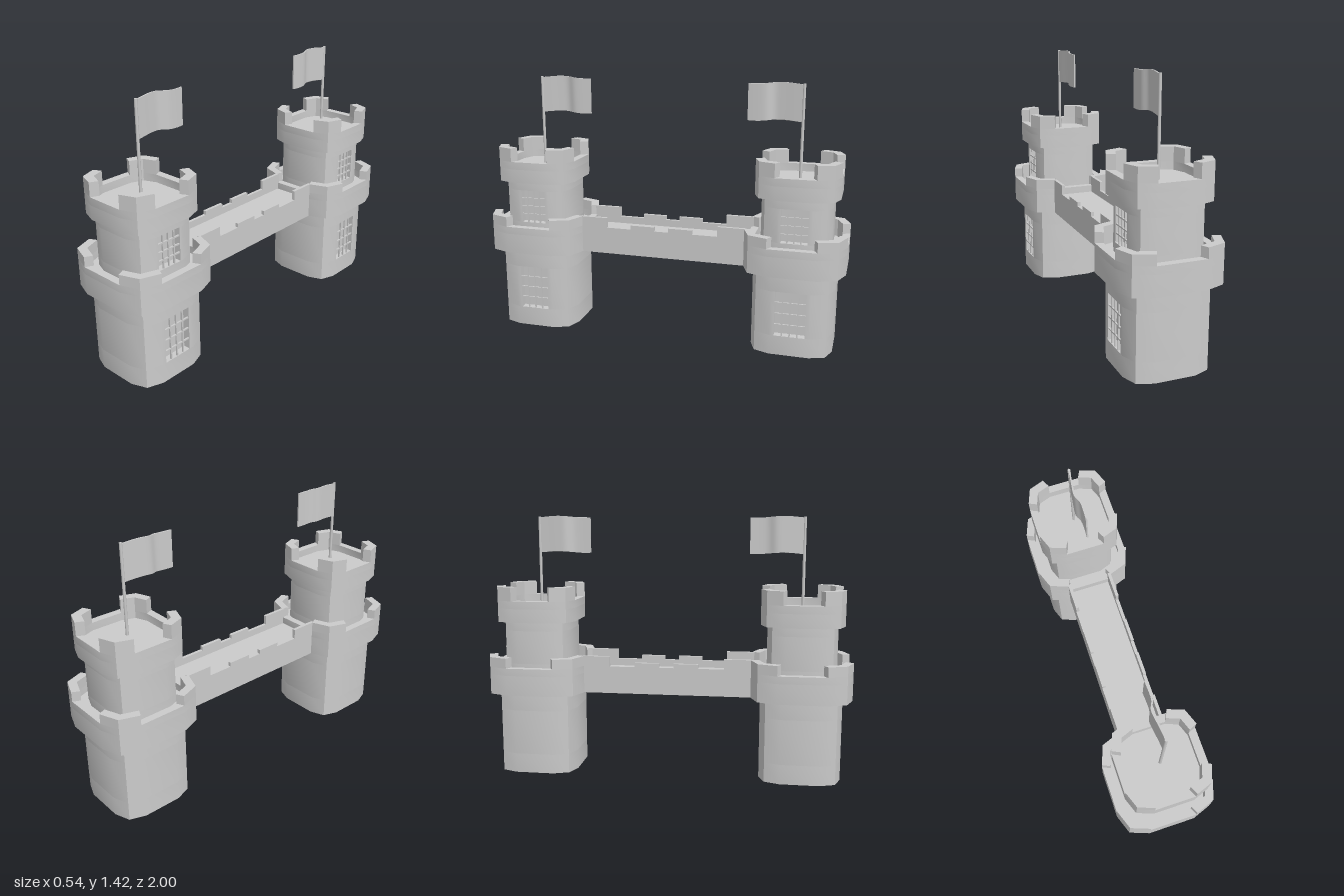
import * as THREE from 'three';
import { toCreasedNormals } from 'three/addons/utils/BufferGeometryUtils.js';

const material = new THREE.MeshStandardMaterial({ color: 0xcccccc });
const FLAT = 0.48;   // half length of a flat side, as a share of the half width
const CORNER = 0.86; // corner position, as a share of the half width

function add(parent, name, geometry) {
  const mesh = new THREE.Mesh(geometry, material);
  mesh.name = name;
  parent.add(mesh);
  return mesh;
}

function box(parent, name, x0, x1, y0, y1, z0, z1) {
  const mesh = add(parent, name, new THREE.BoxGeometry(x1 - x0, y1 - y0, z1 - z0));
  mesh.position.set((x0 + x1) / 2, (y0 + y1) / 2, (z0 + z1) / 2);
}

// Outline with four bowed sides and four sharp corners, counter-clockwise from the +x side
function outline(h) {
  const points = [];
  for (let k = 0; k < 4; k++) {
    for (const [x, y] of [[1, -FLAT], [1, FLAT], [CORNER, CORNER]]) {
      points.push(new THREE.Vector2(x * h, y * h).rotateAround(new THREE.Vector2(), k * Math.PI / 2));
    }
  }
  return points;
}

// Upright prism over a plan outline
function prism(points, y0, y1, hole) {
  const shape = new THREE.Shape(points);
  if (hole) shape.holes.push(new THREE.Path(hole));
  const geometry = new THREE.ExtrudeGeometry(shape, { depth: y1 - y0, bevelEnabled: false });
  geometry.rotateX(-Math.PI / 2).translate(0, y0, 0);
  return toCreasedNormals(geometry, 0.6);
}

// Tower storey with a recessed, barred window on its +x side
function storey(tower, name, h, y0, y1, win) {
  const group = new THREE.Group();
  group.name = name;
  const { w, bottom, top } = win, depth = 0.04;
  const recessed = outline(h);
  recessed.splice(1, 0, ...[[h, -w], [h - depth, -w], [h - depth, w], [h, w]]
    .map(([x, y]) => new THREE.Vector2(x, y)));
  add(group, 'wallBelowWindow', prism(outline(h), y0, bottom));
  add(group, 'wallAroundWindow', prism(recessed, bottom, top));
  add(group, 'wallAboveWindow', prism(outline(h), top, y1));
  const b = 0.0035, x0 = h - 0.012, x1 = h - 0.003;
  for (let i = 1; i < 4; i++) {
    const z = -w + (i / 4) * 2 * w;
    const y = bottom + (i / 4) * (top - bottom);
    box(group, 'uprightBar', x0, x1, bottom, top, z - b, z + b);
    box(group, 'crossBar', x0, x1, y - b, y + b, -w, w);
  }
  tower.add(group);
}

// Overhanging platform with a parapet and four corner merlons
function battlement(tower, name, h, inner, y0, floor, lip, top) {
  const group = new THREE.Group();
  group.name = name;
  const out = outline(h), inn = outline(h * inner);
  add(group, 'platform', prism(out, y0, floor));
  add(group, 'parapet', prism(out, floor, lip, inn));
  for (let k = 0; k < 4; k++) {
    const ids = [1, 2, 3].map(i => (3 * k + i) % 12);
    const plan = [...ids.map(i => out[i]), ...ids.reverse().map(i => inn[i])];
    add(group, 'merlon', prism(plan, lip, top));
  }
  tower.add(group);
}

// Pole with a thin rippled flag that flies along dir * z
function flag(tower, dir) {
  const pole = add(tower, 'flagPole', new THREE.CylinderGeometry(0.008, 0.008, 0.5, 8));
  pole.position.y = 1.165;
  const curve = new THREE.SplineCurve([
    [0, 0], [-0.006, 0.05], [-0.013, 0.1], [-0.017, 0.15],
    [0, 0.19], [0.003, 0.23], [0, 0.29],
  ].map(([x, z]) => new THREE.Vector2(x, -dir * z)));
  const line = curve.getPoints(18), t = 0.004;
  const side = s => line.map(p => new THREE.Vector2(p.x + s * t, p.y));
  const geometry = prism([...side(1), ...side(-1).reverse()], 1.22, 1.414);
  const p = geometry.attributes.position;
  for (let i = 0; i < p.count; i++) {
    p.setY(i, p.getY(i) + 0.005 * Math.sin(Math.abs(p.getZ(i)) / 0.29 * Math.PI * 2 - 0.8));
  }
  add(tower, 'flag', geometry);
}

function makeTower(dir) {
  const tower = new THREE.Group();
  tower.name = dir > 0 ? 'frontTower' : 'backTower';
  storey(tower, 'lowerStorey', 0.22, 0, 0.45, { w: 0.082, bottom: 0.108, top: 0.355 });
  battlement(tower, 'lowerBattlement', 0.27, 0.85, 0.45, 0.56, 0.6, 0.655);
  storey(tower, 'upperStorey', 0.187, 0.56, 0.845, { w: 0.071, bottom: 0.612, top: 0.795 });
  battlement(tower, 'upperBattlement', 0.222, 0.81, 0.845, 0.92, 0.962, 1.037);
  flag(tower, -dir);
  tower.position.z = dir * 0.73;
  return tower;
}

function makeBridge() {
  const bridge = new THREE.Group();
  bridge.name = 'bridge';
  const w = 0.13, inner = 0.112, end = 0.47;
  box(bridge, 'walkway', -w, w, 0.45, 0.56, -end, end);
  // Stepped side walls, drawn as (z, y) profiles
  const half = [[0.04, 0.6], [0.04, 0.623], [0.175, 0.623], [0.175, 0.6], [0.315, 0.6], [0.315, 0.655], [end, 0.655], [end, 0.56]];
  const profile = [...half, ...half.map(([z, y]) => [-z, y]).reverse()];
  const shape = new THREE.Shape(profile.map(([z, y]) => new THREE.Vector2(z, y)));
  for (const x of [-w, inner]) {
    const geometry = new THREE.ExtrudeGeometry(shape, { depth: w - inner, bevelEnabled: false });
    geometry.rotateY(Math.PI / 2).translate(x, 0, 0);
    add(bridge, 'sideWall', geometry);
  }
  return bridge;
}

export function createModel() {
  const model = new THREE.Group();
  model.name = 'towerBridge';
  model.add(makeTower(1), makeTower(-1), makeBridge());
  return model;
}
